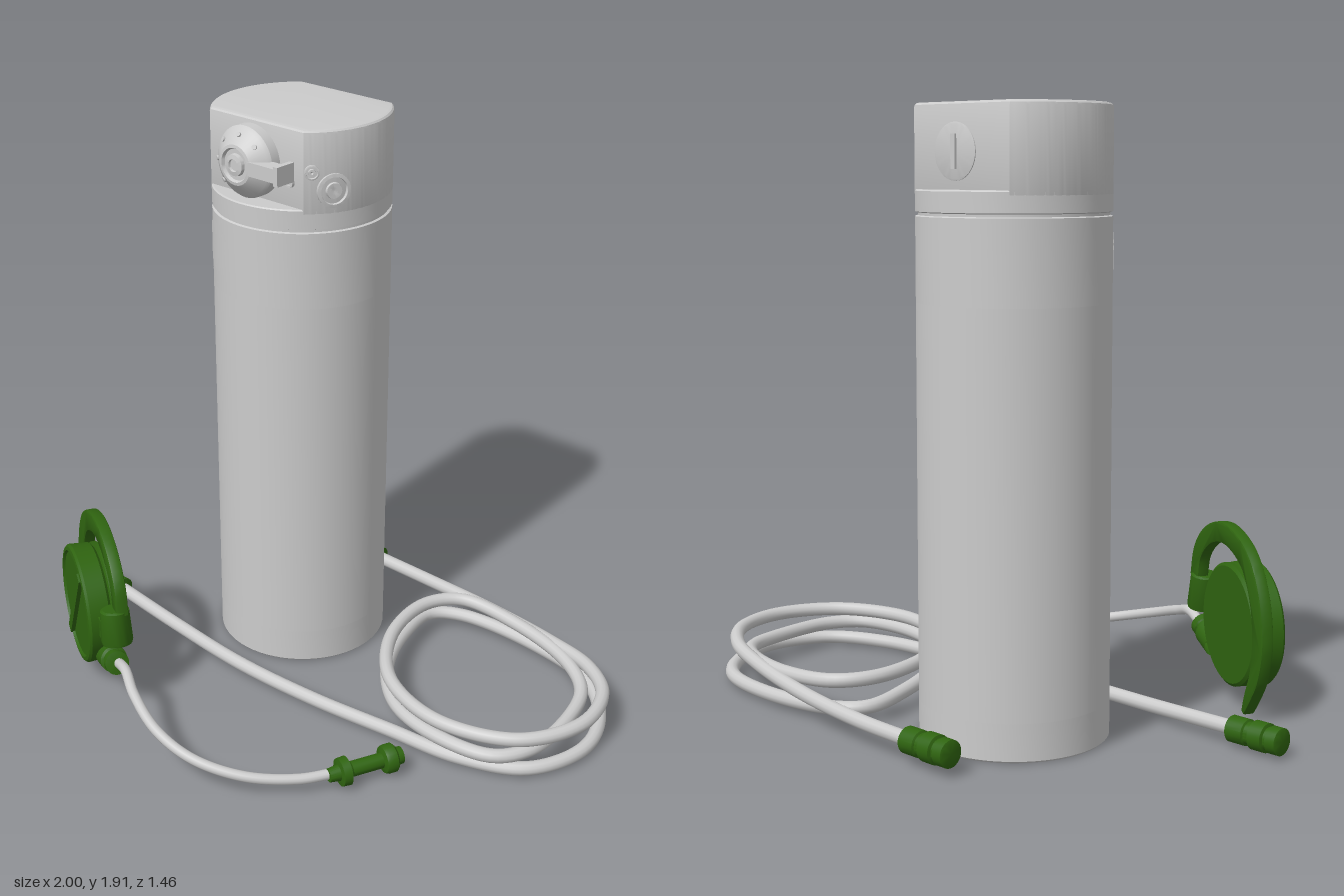
import * as THREE from 'three';
import { toCreasedNormals } from 'three/addons/utils/BufferGeometryUtils.js';

const grey = new THREE.MeshStandardMaterial({ color: 0xcccccc, side: THREE.DoubleSide });
const green = new THREE.MeshStandardMaterial({ color: 0x2f6410, side: THREE.DoubleSide });
const CX = -0.257, CZ = -0.27, R = 0.293;
const V = (x, y, z) => new THREE.Vector3(x, y, z);

function add(parent, name, geo, mat, x = 0, y = 0, z = 0) {
  const mesh = new THREE.Mesh(geo, mat);
  mesh.name = name;
  mesh.position.set(x, y, z);
  parent.add(mesh);
  return mesh;
}

// Turned part from [radius, height] pairs, with sharp edges kept
const turned = (pts, seg = 32) => toCreasedNormals(
  new THREE.LatheGeometry(pts.map(([r, h]) => new THREE.Vector2(r, h)), seg), 0.5);

// Point a lathe or cylinder along a direction
function aim(mesh, dir) {
  mesh.quaternion.setFromUnitVectors(V(0, 1, 0), dir.clone().normalize());
  return mesh;
}

function hose(parent, name, pts, radius, segs) {
  const curve = new THREE.CatmullRomCurve3(pts.map((p) => V(...p)), false, 'centripetal');
  return add(parent, name, new THREE.TubeGeometry(curve, segs, radius, 12), grey);
}

// Disc bent onto the canister wall
function wallPatch(geo, x, y, lift) {
  const p = geo.attributes.position;
  for (let i = 0; i < p.count; i++) {
    const px = p.getX(i) + x - CX;
    p.setXYZ(i, px + CX, p.getY(i) + y, CZ + Math.sqrt(Math.max(0, (R + lift) ** 2 - px * px)));
  }
  geo.computeVertexNormals();
  return geo;
}

function buildCanister(root) {
  const g = new THREE.Group();
  g.name = 'canister';
  root.add(g);
  add(g, 'baseBand', turned([[0, 0], [R - 0.006, 0], [R, 0.006], [R, 0.12]], 64), grey, CX, 0, CZ);
  add(g, 'body', turned([[R, 0.12], [R, 1.33]], 64), grey, CX, 0, CZ);
  add(g, 'upperBand', turned([[R, 1.33], [R, 1.583], [R - 0.008, 1.586], [R - 0.008, 1.594],
    [R, 1.597], [R, 1.657], [R - 0.004, 1.661], [0, 1.661]], 64), grey, CX, 0, CZ);

  // Badge with a ring of small dots
  add(g, 'badge', wallPatch(new THREE.RingGeometry(0.001, 0.083, 40, 6), -0.397, 1.475, 0.002), grey);
  for (let i = 0; i < 20; i++) {
    const a = i / 20 * Math.PI * 2;
    add(g, 'badgeDot', wallPatch(new THREE.CircleGeometry(0.004, 6),
      -0.39 + 0.115 * Math.cos(a), 1.465 + 0.115 * Math.sin(a), 0.002), grey);
  }

  // Head with flat front and back
  const b = 0.014, r = R - b;
  const f = Math.asin((0.215 - b) / r), k = Math.asin((0.217 - b) / r);
  const s = new THREE.Shape();
  s.absarc(0, 0, r, -f, k, false);
  s.absarc(0, 0, r, Math.PI - k, Math.PI + f, false);
  const head = new THREE.ExtrudeGeometry(s, {
    depth: 0.25, bevelEnabled: true, bevelSize: b, bevelThickness: b, bevelSegments: 3, curveSegments: 32 });
  head.rotateX(-Math.PI / 2);
  add(g, 'head', toCreasedNormals(head, 0.5), grey, CX, 1.912 - b - 0.25, CZ);

  // Selector knob with lever
  const knob = new THREE.Group();
  knob.name = 'selectorKnob';
  knob.position.set(-0.27, 1.78, -0.06);
  g.add(knob);
  aim(add(knob, 'knobBody', turned([[0, 0], [0.116, 0], [0.116, 0.04], [0.108, 0.052], [0.065, 0.088],
    [0.055, 0.09], [0.05, 0.08], [0.036, 0.08], [0.034, 0.092], [0.02, 0.095], [0.018, 0.088], [0, 0.088]], 40), grey), V(0, 0, 1));
  add(knob, 'knobLever', new THREE.BoxGeometry(0.125, 0.045, 0.055), grey, 0.12, 0, 0.063);
  add(knob, 'leverTip', new THREE.BoxGeometry(0.018, 0.062, 0.075), grey, 0.175, 0, 0.055);
  for (let i = 0; i < 5; i++) {
    const a = Math.PI * (0.25 + i * 0.25);
    aim(add(knob, 'knobDot', new THREE.CylinderGeometry(0.008, 0.008, 0.01, 12), grey,
      0.092 * Math.cos(a), 0.092 * Math.sin(a), 0.066), V(0.5 * Math.cos(a), 0.5 * Math.sin(a), 0.8));
  }
  aim(add(g, 'pin', turned([[0.016, 0], [0.016, 0.012], [0.01, 0.012], [0.01, 0.004], [0, 0.004]], 16),
    grey, -0.11, 1.74, -0.056), V(0, 0, 1));

  // Side ports
  const port = (name, z, y, rad) => {
    const dz = z - CZ, dx = Math.sqrt(R * R - dz * dz), d = V(dx, 0, dz).normalize();
    aim(add(g, name, turned([[rad, -0.03], [rad, 0.006], [rad * 0.8, 0.008], [rad * 0.75, -0.004],
      [rad * 0.5, -0.004], [rad * 0.45, 0.008], [rad * 0.2, 0.008], [0, 0.004]], 24), grey, CX + dx, y, z), d);
  };
  port('mainPort', -0.13, 1.72, 0.055);
  port('smallPort', -0.073, 1.782, 0.024);

  // Slotted cap on the back
  aim(add(g, 'rearCap', turned([[0.084, -0.02], [0.084, 0.003], [0.078, 0.005], [0, 0.005]], 40),
    grey, -0.235, 1.77, -0.487), V(0, 0, -1));
  add(g, 'rearCapRidge', new THREE.BoxGeometry(0.018, 0.1, 0.012), grey, -0.235, 1.77, -0.493);
}

// Ribbed hose coupling along x
function coupling(root, x, y, z) {
  const m = add(root, 'hoseCoupling', turned([[0, 0], [0.034, 0], [0.042, 0.004], [0.042, 0.038], [0.036, 0.042],
    [0.036, 0.05], [0.045, 0.054], [0.045, 0.1], [0.035, 0.104], [0.035, 0.122], [0.041, 0.126],
    [0.041, 0.185], [0.02, 0.19], [0, 0.19]], 24), green, x, y, z);
  aim(m, V(1, 0, 0));
}

function buildMouthpiece(root) {
  const g = new THREE.Group();
  g.name = 'reel';
  g.position.set(-0.575, 0.265, 0.44);
  g.rotation.y = -0.49;
  root.add(g);
  aim(add(g, 'reelDrum', turned([[0, -0.04], [0.19, -0.04], [0.2, -0.032], [0.2, -0.018], [0.19, -0.014],
    [0.2, -0.005], [0.205, 0.06], [0.198, 0.068], [0.185, 0.07], [0.18, 0.062], [0, 0.062]], 48), green), V(0, 0, 1));
  const bar = add(g, 'reelBar', new THREE.BoxGeometry(0.034, 0.375, 0.024), green, 0, 0, 0.064);
  bar.rotation.z = -0.56;

  // Hook: flat band that widens, then tapers to a point
  const path = new THREE.CatmullRomCurve3([[0.26, 0.1], [0.235, 0.19], [0.15, 0.265], [0.02, 0.293], [-0.13, 0.24],
    [-0.21, 0.13], [-0.235, 0.0], [-0.215, -0.11], [-0.165, -0.2], [-0.14, -0.245]].map(([x, y]) => V(x, y, 0)));
  const N = 48, outer = [], inner = [];
  for (let i = 0; i <= N; i++) {
    const t = i / N, p = path.getPointAt(t), d = path.getTangentAt(t);
    const w = t < 0.75 ? 0.025 + 0.01 * t : 0.0325 * Math.sqrt(Math.max(0.02, (1 - t) / 0.25));
    outer.push(new THREE.Vector2(p.x + d.y * w, p.y - d.x * w));
    inner.unshift(new THREE.Vector2(p.x - d.y * w, p.y + d.x * w));
  }
  const hook = new THREE.ExtrudeGeometry(new THREE.Shape([...outer, ...inner]),
    { depth: 0.025, bevelEnabled: true, bevelSize: 0.006, bevelThickness: 0.008, bevelSegments: 2 });
  add(g, 'hook', toCreasedNormals(hook, 0.6), green, 0, 0, -0.04);

  // Hook clamp and hose outlet
  const clamp = add(g, 'hookClamp', turned([[0, -0.06], [0.05, -0.06], [0.053, -0.05], [0.048, 0.055],
    [0.04, 0.06], [0, 0.06]], 24), green, 0.256, 0.05, -0.01);
  clamp.rotation.z = 0.15;
  add(g, 'clampArm', new THREE.BoxGeometry(0.12, 0.07, 0.06), green, 0.19, 0.02, 0.005);
  aim(add(g, 'hoseOutlet', turned([[0.045, 0], [0.045, 0.08], [0.036, 0.084], [0.036, 0.1], [0.04, 0.104],
    [0.04, 0.13], [0.018, 0.134], [0, 0.134]], 24), green, 0.165, -0.115, 0), V(0.95, 0.3, 0));

  hose(root, 'drinkHose', [[-0.33, 0.185, 0.565], [-0.24, 0.212, 0.61], [-0.15, 0.19, 0.66], [0, 0.145, 0.705],
    [0.15, 0.105, 0.695], [0.3, 0.072, 0.62], [0.42, 0.055, 0.5], [0.485, 0.055, 0.4]], 0.017, 80);

  // Valve at the end of the thin hose
  aim(add(root, 'endValve', turned([[0, 0], [0.022, 0], [0.026, 0.035], [0.045, 0.038], [0.047, 0.065], [0.03, 0.07],
    [0.025, 0.078], [0.025, 0.185], [0.043, 0.19], [0.047, 0.2], [0.047, 0.225], [0.04, 0.232], [0.03, 0.232],
    [0.028, 0.255], [0, 0.255]], 24), green, 0.478, 0.055, 0.425), V(0.1, 0, -0.23));
}

export function createModel() {
  const root = new THREE.Group();
  root.name = 'filterWithHoses';
  buildCanister(root);

  // Long hose coiled beside the canister
  hose(root, 'coiledHose', [[-0.84, 0.055, 0.1], [-0.5, 0.042, 0.125], [-0.17, 0.035, 0.143], [0.15, 0.03, 0.125],
    [0.45, 0.028, 0.085], [0.7, 0.028, 0.05], [0.9, 0.028, -0.05], [0.975, 0.028, -0.25], [0.92, 0.028, -0.43],
    [0.77, 0.03, -0.58], [0.5, 0.035, -0.635], [0.22, 0.045, -0.605], [0.13, 0.05, -0.53], [0.15, 0.06, -0.36],
    [0.25, 0.07, -0.14], [0.42, 0.08, 0.02], [0.62, 0.085, 0.07], [0.82, 0.085, 0.035], [0.89, 0.085, -0.07],
    [0.885, 0.085, -0.3], [0.83, 0.09, -0.45], [0.7, 0.1, -0.545], [0.45, 0.11, -0.605], [0.23, 0.125, -0.585],
    [0.155, 0.13, -0.47], [0.19, 0.133, -0.24], [0.36, 0.135, -0.02], [0.62, 0.135, 0.06], [0.87, 0.135, -0.03],
    [0.973, 0.135, -0.23], [0.93, 0.132, -0.42], [0.8, 0.122, -0.535], [0.6, 0.105, -0.6], [0.3, 0.085, -0.655],
    [0, 0.072, -0.68], [-0.25, 0.07, -0.687]], 0.023, 360);
  coupling(root, -1, 0.053, 0.1);
  coupling(root, -0.418, 0.07, -0.687);

  buildMouthpiece(root);
  return root;
}
